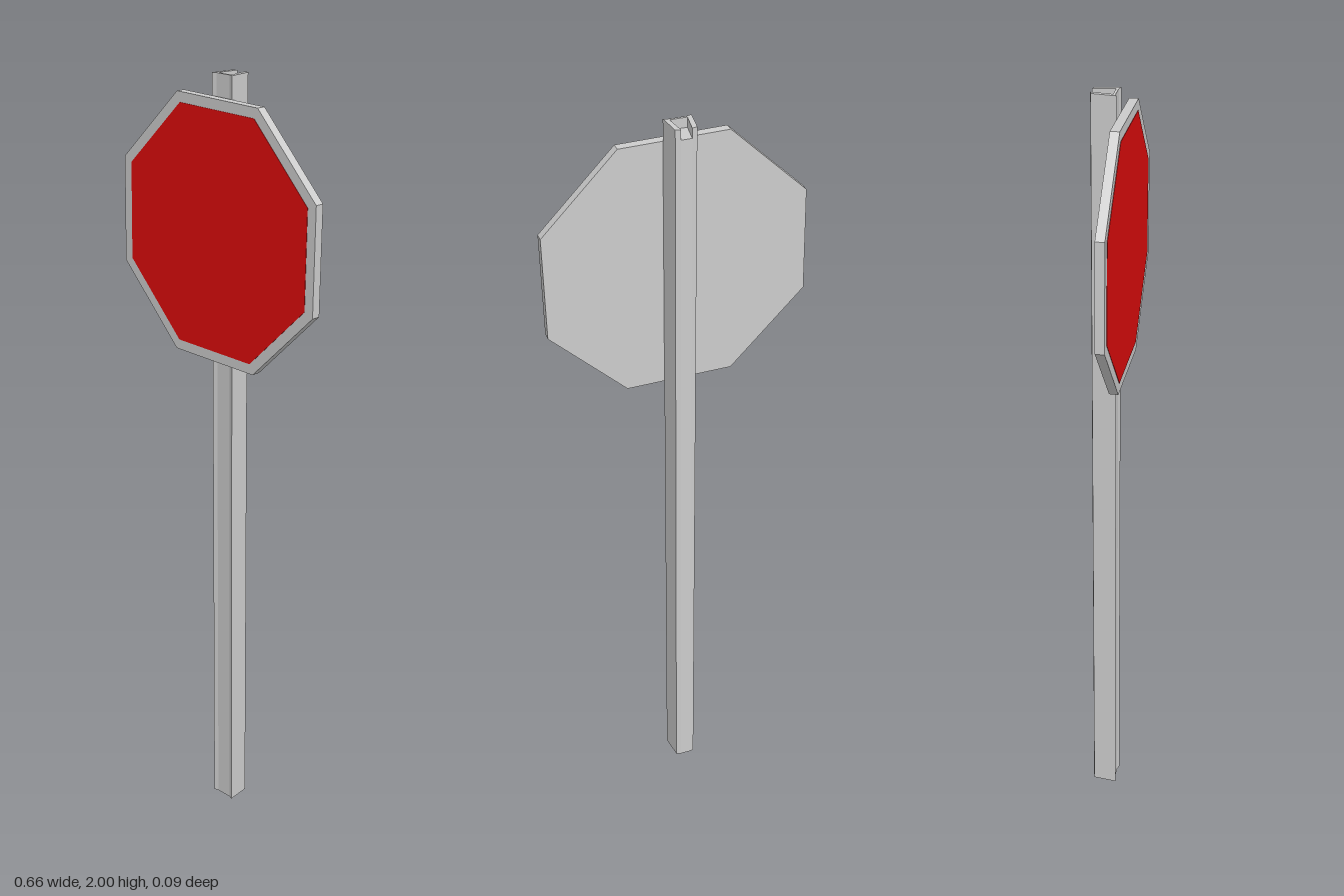
import * as THREE from 'three';

const grey = new THREE.MeshStandardMaterial({ color: 0xcccccc, flatShading: true });
const red = new THREE.MeshStandardMaterial({ color: 0xdd0c0c, flatShading: true });

const POST_HEIGHT = 2;
const NOTCH = 0.025; // depth of the open slot in the post's top end
const SIGN_Y = 1.617;
const TILT = THREE.MathUtils.degToRad(-1); // the sign hangs slightly askew

const shapeOf = (points) => new THREE.Shape(points.map(([x, y]) => new THREE.Vector2(x, y)));

// Extrude a cross-section given as [x, z] upward from y0 to y1
function column(name, section, y0, y1) {
  const geometry = new THREE.ExtrudeGeometry(shapeOf(section.map(([x, z]) => [x, -z])), {
    depth: y1 - y0,
    bevelEnabled: false,
  });
  geometry.rotateX(-Math.PI / 2).translate(0, y0, 0);
  const mesh = new THREE.Mesh(geometry, grey);
  mesh.name = name;
  return mesh;
}

// Octagonal slab with flat top and bottom edges
function octagon(name, radius, z, depth, material) {
  const points = [];
  for (let i = 0; i < 8; i++) {
    const a = ((i + 0.5) * Math.PI) / 4 + TILT;
    points.push([radius * Math.cos(a), radius * Math.sin(a)]);
  }
  const geometry = new THREE.ExtrudeGeometry(shapeOf(points), { depth, bevelEnabled: false });
  const mesh = new THREE.Mesh(geometry, material);
  mesh.name = name;
  mesh.position.set(0, SIGN_Y, z);
  return mesh;
}

export function createModel() {
  const model = new THREE.Group();
  model.name = 'roadSign';

  // Tapered post, narrower at the back, with a shallow recess down its front
  const half = [[0.022, 0.016], [0.034, 0.02], [0.026, -0.042], [0.013, -0.045]];
  const mirrored = half.map(([x, z]) => [-x, z]).reverse();
  const post = new THREE.Group();
  post.name = 'post';
  post.add(column('postShaft', [...half, ...mirrored], 0, POST_HEIGHT - NOTCH));

  // Top end: a U-shaped rim around a slot that opens to the back
  const slot = [[-0.021, 0.01], [0.021, 0.01]];
  post.add(column('postRim', [...half, ...slot.slice().reverse(), ...mirrored],
    POST_HEIGHT - NOTCH, POST_HEIGHT));
  model.add(post);

  // Sign plate and its inset coloured face
  model.add(octagon('signPlate', 0.355, 0.021, 0.023, grey));
  model.add(octagon('signFace', 0.327, 0.043, 0.002, red));

  return model;
}
